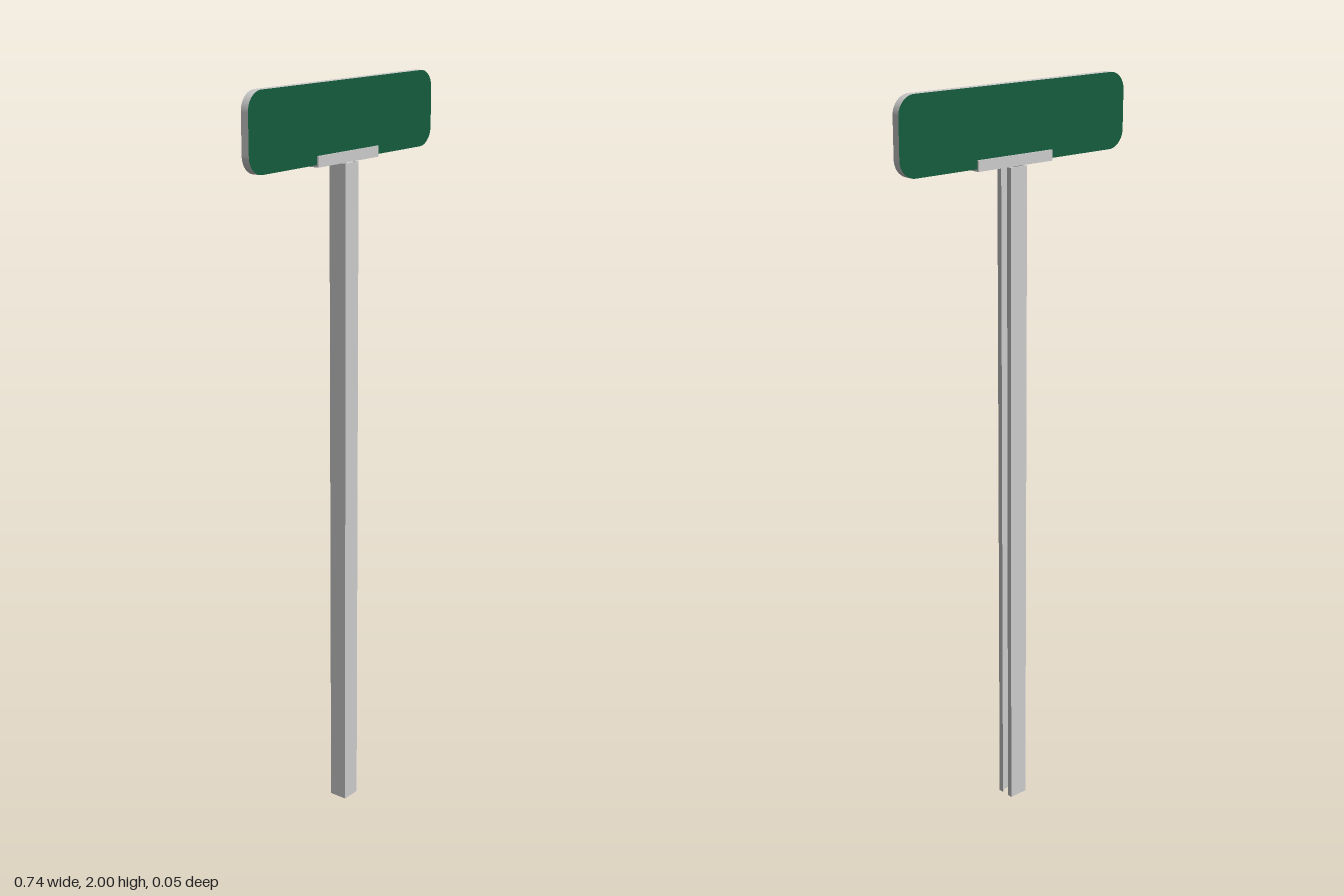
import * as THREE from 'three';

const grey = new THREE.MeshStandardMaterial({ color: 0xcccccc });
const green = new THREE.MeshStandardMaterial({ color: 0x145c3c });

// Straight prism from a list of outline points
function prism(points, depth) {
  const shape = new THREE.Shape(points.map(([x, y]) => new THREE.Vector2(x, y)));
  return new THREE.ExtrudeGeometry(shape, { depth, bevelEnabled: false });
}

function addMesh(group, name, geometry, material) {
  const mesh = new THREE.Mesh(geometry, material);
  mesh.name = name;
  group.add(mesh);
}

function roundedRect(w, h, r) {
  const s = new THREE.Shape();
  const x = w / 2, y = h / 2;
  s.moveTo(-x + r, -y);
  s.lineTo(x - r, -y);
  s.absarc(x - r, -y + r, r, -Math.PI / 2, 0);
  s.lineTo(x, y - r);
  s.absarc(x - r, y - r, r, 0, Math.PI / 2);
  s.lineTo(-x + r, y);
  s.absarc(-x + r, y - r, r, Math.PI / 2, Math.PI);
  s.lineTo(-x, -y + r);
  s.absarc(-x + r, -y + r, r, Math.PI, Math.PI * 1.5);
  return s;
}

export function createModel() {
  const model = new THREE.Group();
  model.name = 'streetSign';

  // Post: lipped C-channel, open towards +x
  const x0 = -0.02, x1 = 0.034, hz = 0.0255, t = 0.005, slot = 0.011;
  const half = [
    [x0, -hz], [x1, -hz], [x1, -slot], [x1 - t, -slot],
    [x1 - t, -hz + t], [x0 + t, -hz + t],
  ];
  const mirrored = half.map(([x, z]) => [x, -z]).reverse();
  const post = prism([...half, ...mirrored], 1.796);
  post.rotateX(-Math.PI / 2);
  addMesh(model, 'post', post, grey);

  // Bracket: U-channel gripping the lower edge of the panel
  const outer = 0.0155, inner = 0.0112, bottom = 1.796, floor = 1.802, top = 1.824;
  const bracket = prism([
    [-outer, bottom], [outer, bottom], [outer, top], [inner, top],
    [inner, floor], [-inner, floor], [-inner, top], [-outer, top],
  ], 0.246);
  bracket.rotateY(Math.PI / 2);
  bracket.translate(-0.1155, 0, 0);
  addMesh(model, 'bracket', bracket, grey);

  // Panel: green faces with a bare grey rim
  const panel = new THREE.ExtrudeGeometry(roundedRect(0.738, 0.198, 0.048), {
    depth: 0.022, bevelEnabled: false, curveSegments: 10,
  });
  panel.translate(0, 1.901, -0.011);
  addMesh(model, 'signPanel', panel, [green, grey]);

  return model;
}
